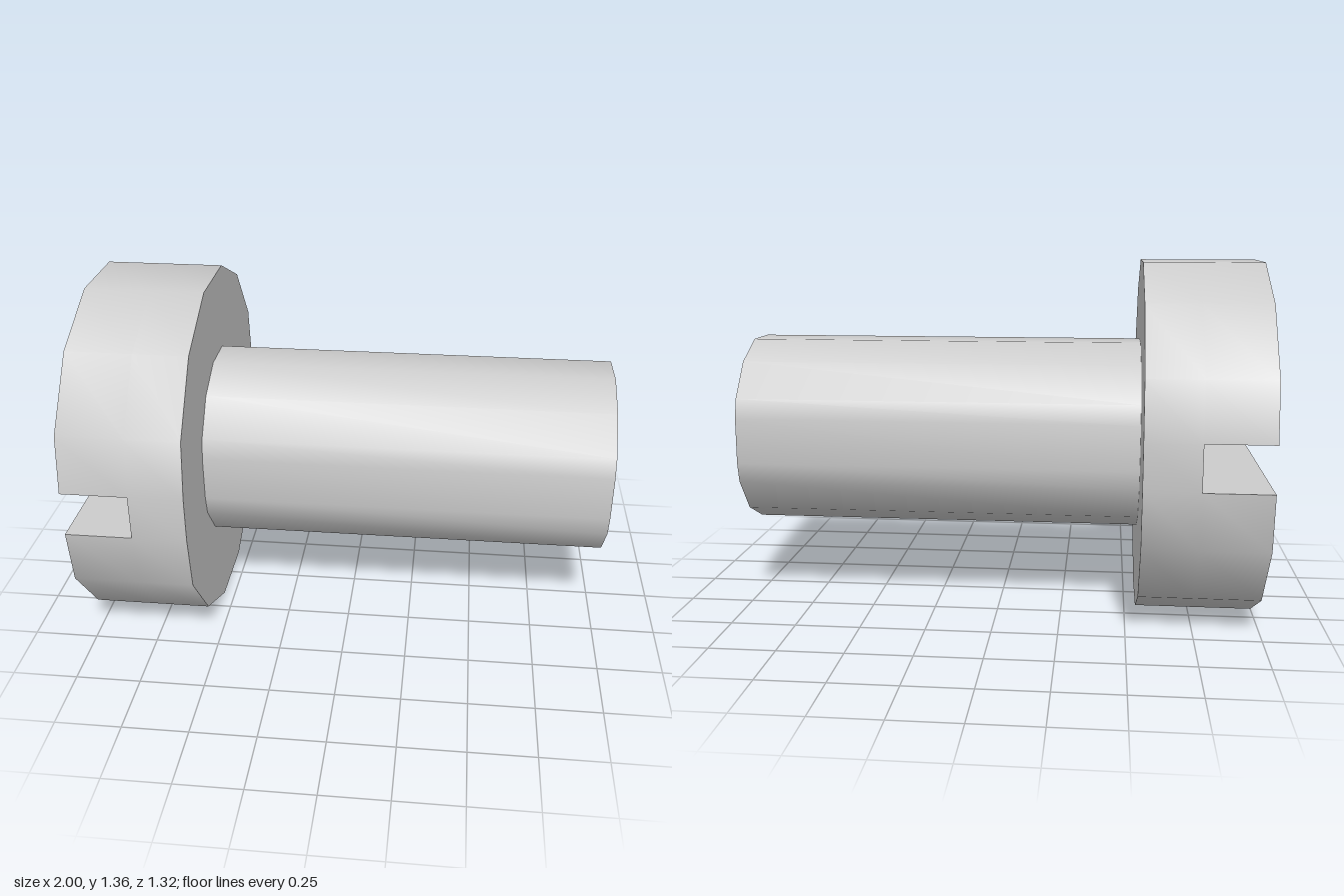
import * as THREE from 'three';
import { mergeGeometries, toCreasedNormals } from 'three/addons/utils/BufferGeometryUtils.js';

const AXIS_Y = 0.681;      // height of the screw axis
const SLOT = 0.086;        // half width of the slot
const HEAD_END = -1, SLOT_FLOOR = -0.75, SHOULDER = -0.545, TIP = 1;

// Upper half of a 14-sided section with flattened sides, counter-clockwise
function upperHalf(apothem, halfWidth) {
  const step = Math.PI / 14, r = apothem / Math.cos(step);
  const right = [new THREE.Vector2(halfWidth, SLOT)];
  for (const k of [5, 3, 1]) right.push(new THREE.Vector2(r * Math.sin(k * step), r * Math.cos(k * step)));
  const left = right.map(p => new THREE.Vector2(-p.x, p.y)).reverse();
  return [...right, ...left];
}
const turned = pts => pts.map(p => new THREE.Vector2(-p.x, -p.y));

// Side walls around a closed section, between two stations on the axis
function walls(pts, z0, z1) {
  const pos = [];
  pts.forEach((p, i) => {
    const q = pts[(i + 1) % pts.length];
    pos.push(p.x, p.y, z0, q.x, q.y, z0, q.x, q.y, z1);
    pos.push(p.x, p.y, z0, q.x, q.y, z1, p.x, p.y, z1);
  });
  const g = new THREE.BufferGeometry();
  g.setAttribute('position', new THREE.Float32BufferAttribute(pos, 3));
  return g;
}

// Flat face at one station, facing along the axis or back against it
function cap(pts, z, backward = false, hole = null) {
  const shape = new THREE.Shape(pts);
  if (hole) shape.holes.push(new THREE.Path(hole));
  const g = new THREE.ShapeGeometry(shape);
  if (backward) g.index.array.reverse();
  const flat = g.toNonIndexed().translate(0, 0, z);
  flat.deleteAttribute('uv');
  flat.deleteAttribute('normal');
  return flat;
}

function part(name, pieces, material) {
  // Sections are built along z, then laid along x
  const g = mergeGeometries(pieces).rotateY(Math.PI / 2).translate(0, AXIS_Y, 0);
  const mesh = new THREE.Mesh(toCreasedNormals(g, 0.6), material);
  mesh.name = name;
  return mesh;
}

export function createModel() {
  const group = new THREE.Group();
  group.name = 'slottedScrew';
  const material = new THREE.MeshStandardMaterial({ color: 0xcccccc });

  const headTop = upperHalf(AXIS_Y, 0.66), headBottom = turned(headTop);
  const headSection = [...headTop, ...headBottom];
  const shaftTop = upperHalf(0.3665, 0.356);
  const shaftSection = [...shaftTop, ...turned(shaftTop)];
  const slotFloor = [headBottom.at(-1), headTop[0], headTop.at(-1), headBottom[0]];

  // Head: solid disc by the shoulder, two half discs either side of the slot
  const head = [
    walls(headSection, SLOT_FLOOR, SHOULDER),
    cap(headSection, SHOULDER, false, shaftSection),
    cap(slotFloor, SLOT_FLOOR, true),
  ];
  for (const half of [headTop, headBottom]) {
    head.push(walls(half, HEAD_END, SLOT_FLOOR), cap(half, HEAD_END, true));
  }
  group.add(part('slottedHead', head, material));

  // Plain shaft with a flat tip
  group.add(part('shaft', [walls(shaftSection, SHOULDER, TIP), cap(shaftSection, TIP)], material));
  return group;
}
